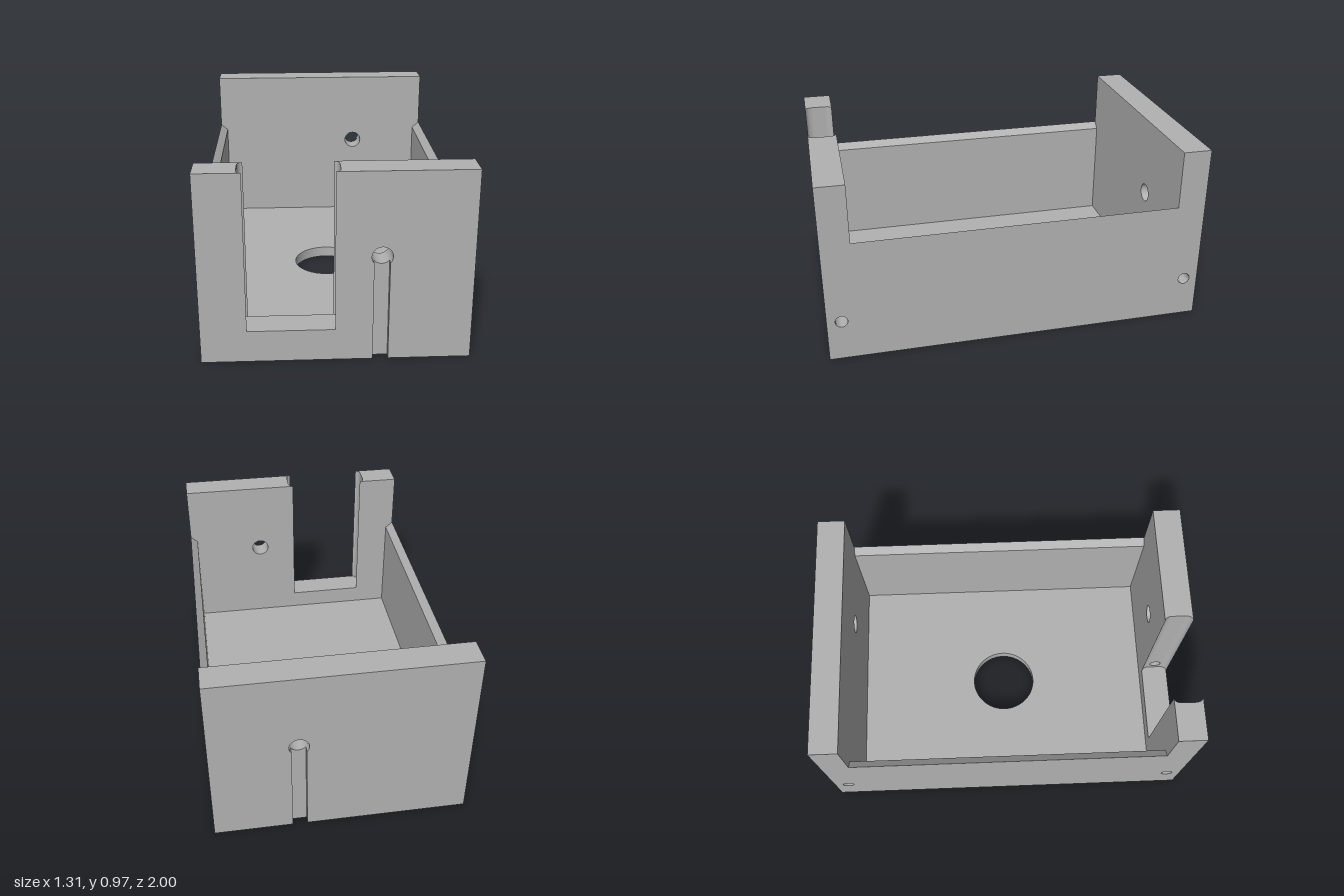
import * as THREE from 'three';
import { toCreasedNormals, mergeGeometries } from 'three/addons/utils/BufferGeometryUtils.js';

// Outer half width, height, inner half width, floor top, side wall height, chamfer foot
const W = 0.655, H = 0.97, IW = 0.615, FLOOR = 0.06, SIDE = 0.66, CH = 0.625;
const Z0 = 0.85, Z1 = 1, ZM = 0.925;              // end wall thickness range and middle
const N0 = -0.43, N1 = -0.005, SILL = 0.165;      // front notch
const HX = 0.215, HY = 0.545, HR = 0.05;          // cable hole
const GW = 0.0375, GZ = 0.965;                    // cable groove half width and back
const BY = 0.22, BR = 0.032;                      // bolt bores
const NX0 = 0.485, NX1 = 0.535, NZ = 0.05, NY = 0.28; // nut pockets

// Placing 2D outlines: facing z, facing x, facing y
const onZ = (u, v, w) => [u, v, w];
const onX = (u, v, w) => [w, v, u];
const onY = (u, v, w) => [u, w, v];

function arc(cx, cy, r, a0 = 0, a1 = Math.PI * 2, n = 40) {
  return Array.from({ length: n + 1 }, (_, i) => {
    const a = a0 + (a1 - a0) * i / n;
    return [cx + r * Math.cos(a), cy + r * Math.sin(a)];
  });
}

function remap(geo, place) {
  const p = geo.attributes.position;
  for (let i = 0; i < p.count; i++) p.setXYZ(i, ...place(p.getX(i), p.getY(i), p.getZ(i)));
  return toCreasedNormals(geo, 0.6);
}

// Flat panel with holes at depth w
function sheet(place, w, outline, holes = []) {
  const vec = (pts) => pts.map(([u, v]) => new THREE.Vector2(u, v));
  const shape = new THREE.Shape(vec(outline));
  shape.holes = holes.map((h) => new THREE.Path(vec(h)));
  return remap(new THREE.ShapeGeometry(shape), (u, v) => place(u, v, w));
}

// Band following a path from depth a to depth b
function ribbon(place, path, a, b) {
  const geo = new THREE.PlaneGeometry(1, 1, path.length - 1, 1);
  return remap(geo, (x, y) => {
    const [u, v] = path[Math.round((x + 0.5) * (path.length - 1))];
    return place(u, v, y > 0 ? b : a);
  });
}

const rect = (u0, v0, u1, v1) => [[u0, v0], [u1, v0], [u1, v1], [u0, v1]];

// Hollowed notch side: x offset along z, flat in the middle
const DEPTH = 0.025, FLAT = 0.036;
function notchSide(x, dir) {
  const half = (sign) => Array.from({ length: 7 }, (_, i) => {
    const a = Math.PI / 2 * i / 6;
    return [x + dir * DEPTH * Math.sin(a), ZM + sign * (0.075 - (0.075 - FLAT) * (1 - Math.cos(a)))];
  });
  return { inner: half(-1), outer: half(1), mid: x + dir * DEPTH };
}
const sideL = notchSide(N0, -1), sideR = notchSide(N1, 1);
const edge = (s) => [...s.inner, ...[...s.outer].reverse()]; // from Z0 to Z1

export function createModel() {
  const group = new THREE.Group();
  const grey = new THREE.MeshStandardMaterial({ color: 0xb2b2b2, side: THREE.DoubleSide });
  grey.name = 'grey plastic';
  const add = (name, geos) => {
    const mesh = new THREE.Mesh(mergeGeometries(geos), grey);
    mesh.name = name;
    group.add(mesh);
  };

  const beta = Math.acos(GW / HR), xl = HX - GW, xr = HX + GW;
  const keyArc = arc(HX, HY, HR, Math.PI + beta, -beta);
  const lowArc = arc(HX, HY, HR, -beta, -Math.PI + beta, 12);
  const cableHole = arc(HX, HY, HR);
  const notch = [[N1, H], [N1, SILL], [N0, SILL], [N0, H]];

  for (const s of [1, -1]) {
    const front = s > 0, name = front ? 'front' : 'back';
    const cut = front ? notch : [];
    const bore = arc(s * ZM, BY, BR, 0, Math.PI * 2, 24);

    // End wall: outer and inner faces, top
    const wall = [
      sheet(onZ, s * Z1, [[-W, 0], [xl, 0], ...keyArc, [xr, 0], [W, 0], [W, H], ...cut, [-W, H]]),
      sheet(onZ, s * Z0, [[-IW, FLOOR], [IW, FLOOR], [IW, CH], [W, SIDE], [W, H], ...cut,
        [-W, H], [-W, SIDE], [-IW, CH]], [cableHole]),
    ];
    if (front) {
      wall.push(sheet(onY, H, [[-W, Z0], ...edge(sideL), [-W, Z1]]));
      wall.push(sheet(onY, H, [[W, Z0], ...edge(sideR), [W, Z1]]));
    } else wall.push(sheet(onY, H, rect(-W, -Z1, W, -Z0)));
    add(name + 'Wall', wall);

    // Cable hole lining and the shallow groove running down from it
    add(name + 'CableChannel', [
      ribbon(onZ, cableHole, s * Z0, s * GZ),
      ribbon(onZ, keyArc, s * GZ, s * Z1),
      sheet(onZ, s * GZ, [[xl, 0], [xr, 0], ...lowArc]),
      ribbon(onZ, [[xl, 0], keyArc[0]], s * GZ, s * Z1),
      ribbon(onZ, [[xr, 0], lowArc[0]], s * GZ, s * Z1),
    ]);

    // Bolt bores along x, interrupted by the nut pockets and the notch
    const spans = [[-W, -NX1], [NX1, W],
      ...(front ? [[-NX0, sideL.mid], [sideR.mid, NX0]] : [[-NX0, NX0]])];
    add(name + 'BoltBores', spans.map(([a, b]) => ribbon(onX, bore, a, b)));

    // Nut pockets open at the bottom
    const za = s * ZM - NZ, zb = s * ZM + NZ;
    for (const m of [1, -1]) {
      add(name + (m > 0 ? 'Left' : 'Right') + 'NutPocket', [
        sheet(onX, m * NX0, rect(za, 0, zb, NY), [bore]),
        sheet(onX, m * NX1, rect(za, 0, zb, NY), [bore]),
        ribbon(onX, [[za, 0], [za, NY], [zb, NY], [zb, 0]], m * NX0, m * NX1),
      ]);
    }
  }

  // Notch: hollowed sides with bore openings, flat sill
  const frontBore = arc(ZM, BY, BR, 0, Math.PI * 2, 24);
  const notchParts = [sheet(onY, SILL, [...edge(sideL), ...edge(sideR).reverse()])];
  for (const side of [sideL, sideR]) {
    notchParts.push(
      ribbon(onY, side.inner, SILL, H),
      ribbon(onY, side.outer, SILL, H),
      sheet(onX, side.mid, rect(ZM - FLAT, SILL, ZM + FLAT, H), [frontBore]));
  }
  add('frontNotch', notchParts);

  // Side walls with chamfered tops, and the end wall flanks above them
  for (const m of [1, -1]) {
    const bores = [1, -1].map((s) => arc(s * ZM, BY, BR, 0, Math.PI * 2, 24));
    add(m > 0 ? 'leftWall' : 'rightWall', [
      sheet(onX, m * W, [[-Z1, 0], [Z1, 0], [Z1, H], [Z0, H], [Z0, SIDE], [-Z0, SIDE], [-Z0, H], [-Z1, H]], bores),
      sheet(onX, m * IW, rect(-Z0, FLOOR, Z0, CH)),
      ribbon(onZ, [[m * W, SIDE], [m * IW, CH]], -Z0, Z0),
    ]);
  }

  // Floor with the round opening, nut pocket slots and groove ends
  const opening = arc(0, 0, 0.183, 0, Math.PI * 2, 64);
  const slots = [];
  for (const s of [1, -1]) for (const m of [1, -1]) {
    const x = m * (NX0 + NX1) / 2, h = (NX1 - NX0) / 2;
    slots.push(rect(x - h, s * ZM - NZ, x + h, s * ZM + NZ));
  }
  add('floor', [
    sheet(onY, 0, [[-W, -Z1], [xl, -Z1], [xl, -GZ], [xr, -GZ], [xr, -Z1], [W, -Z1],
      [W, Z1], [xr, Z1], [xr, GZ], [xl, GZ], [xl, Z1], [-W, Z1]], [opening, ...slots]),
    sheet(onY, FLOOR, rect(-IW, -Z0, IW, Z0), [opening]),
    ribbon(onY, opening, 0, FLOOR),
  ]);
  return group;
}
